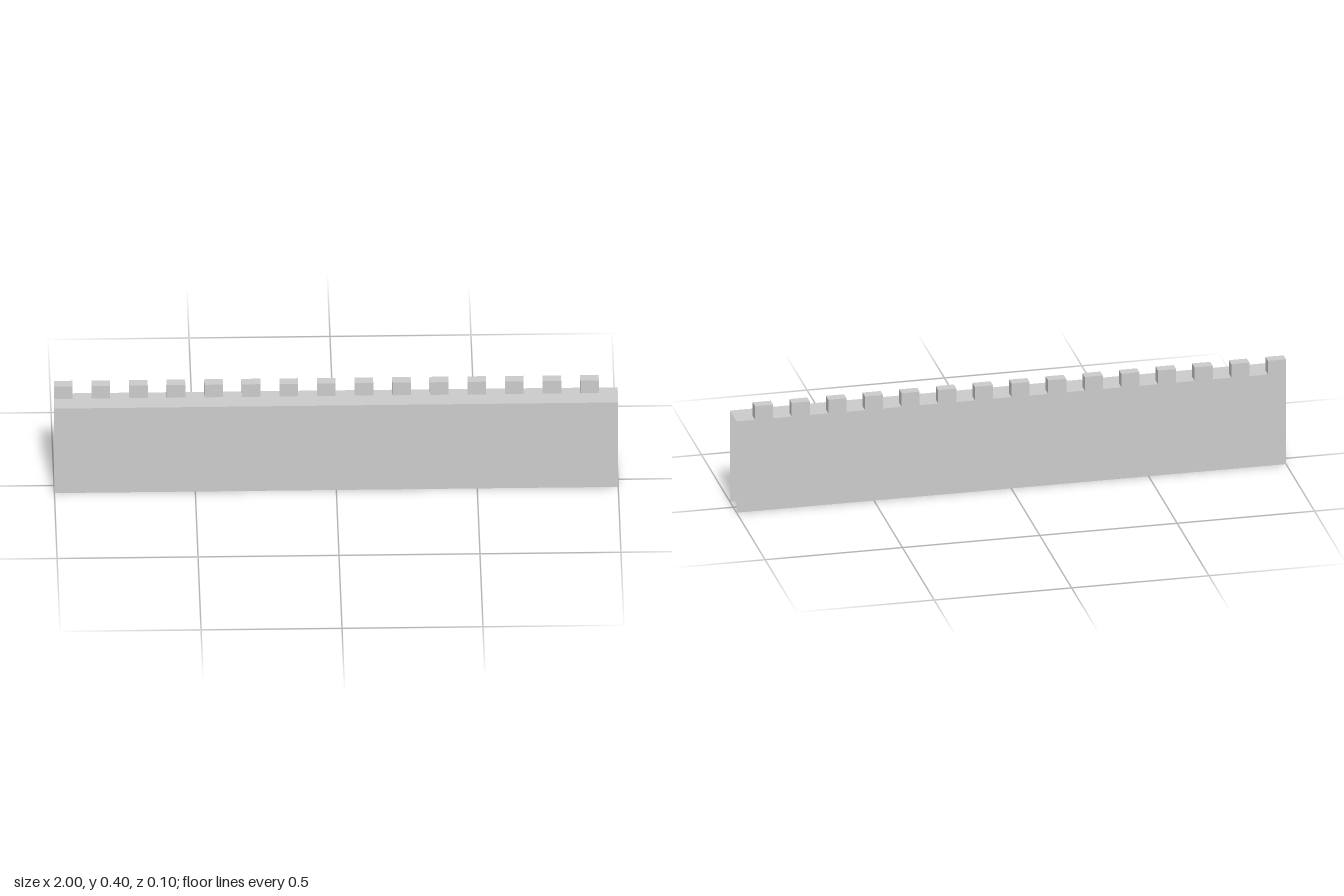
import * as THREE from 'three';

const LENGTH = 2, WALL_H = 0.35, HALF_DEPTH = 0.052;
const MERLON = { count: 15, width: 0.066, height: 0.052, depth: 0.038 };

export function createModel() {
  const group = new THREE.Group();
  group.name = 'battlementWall';
  const solid = new THREE.MeshStandardMaterial({ color: 0xcccccc, flatShading: true });
  const sheet = new THREE.MeshStandardMaterial({ color: 0xcccccc, flatShading: true, side: THREE.DoubleSide });

  const add = (name, geometry, material, x, y, z) => {
    const mesh = new THREE.Mesh(geometry, material);
    mesh.name = name;
    mesh.position.set(x, y, z);
    group.add(mesh);
    return mesh;
  };

  // Hollow wall: thin front, back and walkway, open at the ends and underneath
  const face = new THREE.PlaneGeometry(LENGTH, WALL_H);
  add('frontWall', face, sheet, 0, WALL_H / 2, HALF_DEPTH);
  add('backWall', face, sheet, 0, WALL_H / 2, -HALF_DEPTH).rotation.y = Math.PI;
  add('walkway', new THREE.PlaneGeometry(LENGTH, 2 * HALF_DEPTH), sheet, 0, WALL_H, 0).rotation.x = -Math.PI / 2;

  // Merlons along the back edge, starting flush with the -x end
  const block = new THREE.BoxGeometry(MERLON.width, MERLON.height, MERLON.depth);
  const pitch = LENGTH / MERLON.count;
  for (let i = 0; i < MERLON.count; i++) {
    add(`merlon${i + 1}`, block, solid,
      -LENGTH / 2 + MERLON.width / 2 + i * pitch,
      WALL_H + MERLON.height / 2,
      -HALF_DEPTH + MERLON.depth / 2);
  }
  return group;
}
